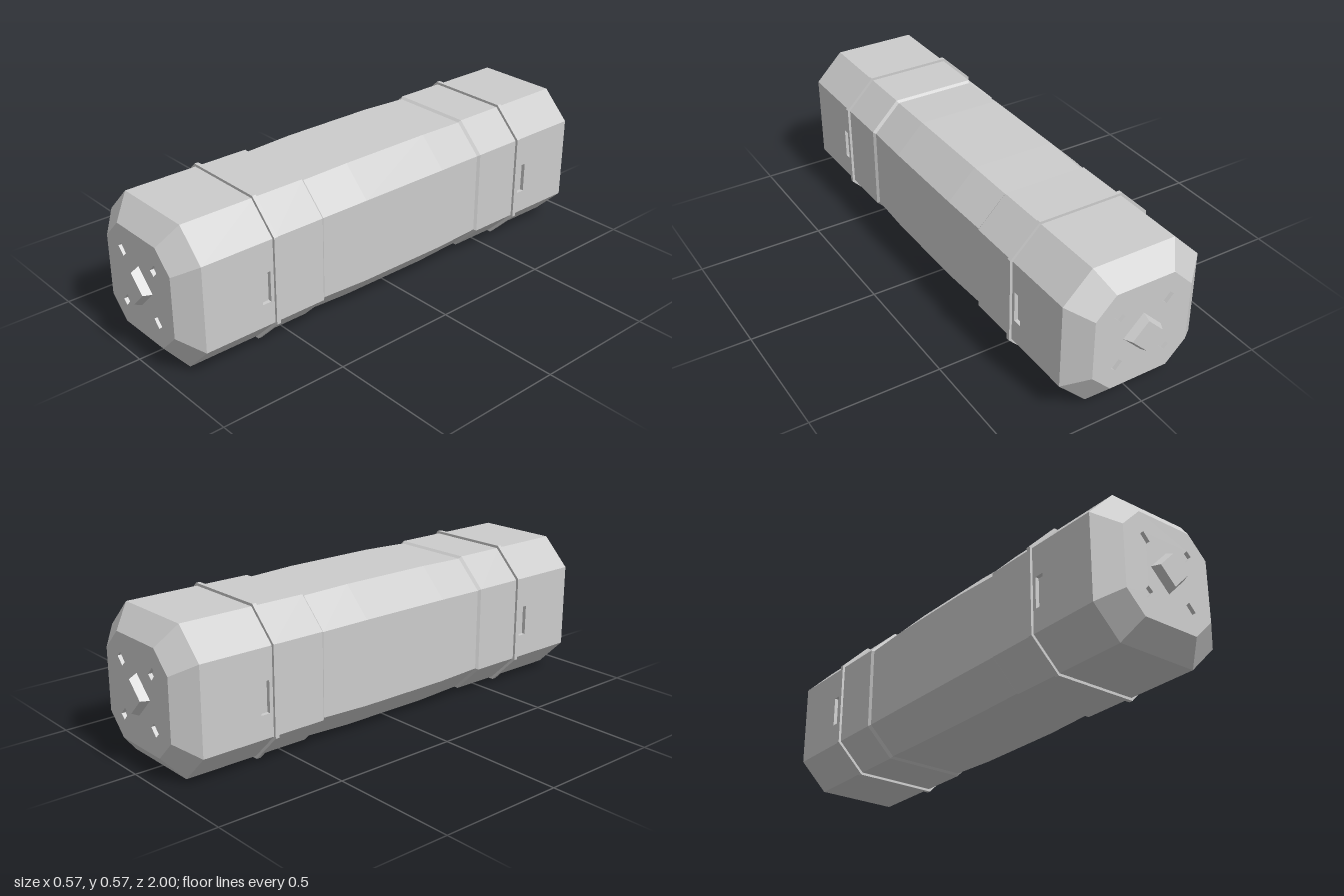
import * as THREE from 'three';

const grey = new THREE.MeshStandardMaterial({ color: 0xcccccc, flatShading: true });
const CY = 0.285; // height of the long axis

// Chamfered square with half size h and half flat edge f, anticlockwise from +z
const octagon = (h, f) => [[h, -f], [h, f], [f, h], [-f, h], [-h, f], [-h, -f], [-f, -h], [f, -h]];

function mesh(name, geometry) {
  const m = new THREE.Mesh(geometry, grey);
  m.name = name;
  return m;
}

// Skin between sections [z, points] listed from front to back; skip(section, edge) leaves gaps
function loft(sections, skip = () => false) {
  const pos = [];
  for (let s = 0; s < sections.length - 1; s++) {
    const [za, a] = sections[s], [zb, b] = sections[s + 1];
    for (let i = 0; i < a.length; i++) {
      if (skip(s, i)) continue;
      const j = (i + 1) % a.length;
      const p = [...a[i], za], q = [...b[i], zb], r = [...b[j], zb], t = [...a[j], za];
      pos.push(...p, ...q, ...r, ...p, ...r, ...t);
    }
  }
  const g = new THREE.BufferGeometry();
  g.setAttribute('position', new THREE.Float32BufferAttribute(pos, 3));
  g.computeVertexNormals();
  return g;
}

// Flat plate facing +z with sunken pockets { x, y, w, h, turn }
function pocketPlate(name, outline, pockets, depth) {
  const group = new THREE.Group();
  group.name = name;
  const shape = new THREE.Shape(outline.map(p => new THREE.Vector2(...p)));
  for (const { x, y, w, h, turn } of pockets) {
    const corners = [[-1, -1], [-1, 1], [1, 1], [1, -1]].map(([a, b]) =>
      new THREE.Vector2(a * w / 2, b * h / 2).rotateAround(new THREE.Vector2(), turn).add(new THREE.Vector2(x, y)));
    shape.holes.push(new THREE.Path(corners));

    // Open box seen from the inside
    const box = new THREE.BoxGeometry(w, h, depth);
    const index = Array.from(box.index.array);
    index.splice(24, 6);
    box.setIndex(index.reverse());
    const inside = box.toNonIndexed();
    inside.computeVertexNormals();
    const pocket = mesh('pocket', inside);
    pocket.position.set(x, y, -depth / 2);
    pocket.rotation.z = turn;
    group.add(pocket);
  }
  group.add(mesh('plate', new THREE.ShapeGeometry(shape)));
  return group;
}

function createEnd() {
  const end = new THREE.Group();
  end.name = 'endSection';

  // Cap face with four small radial slots
  const slots = [];
  for (const x of [-1, 1]) for (const y of [-1, 1]) {
    slots.push({ x: x * 0.098, y: y * 0.1, w: 0.04, h: 0.026, turn: x * y * 0.83 });
  }
  const cap = pocketPlate('capFace', octagon(0.195, 0.117), slots, 0.015);
  cap.position.z = 0.97;
  end.add(cap);

  // Diamond stud
  const diamond = r => [[r, 0], [0, r], [-r, 0], [0, -r]];
  const stud = mesh('diamondStud', loft([[1, diamond(0.0001)], [1, diamond(0.062)], [0.968, diamond(0.078)]]));
  end.add(stud);

  // Raised band
  end.add(mesh('band', loft([
    [0.613, octagon(0.27, 0.162)], [0.613, octagon(0.285, 0.17)],
    [0.597, octagon(0.285, 0.17)], [0.597, octagon(0.27, 0.162)],
  ])));

  // Side panels with an upright slot next to the band
  for (const side of [-1, 1]) {
    const outline = [[-0.9, -0.165], [-0.605, -0.165], [-0.605, 0.165], [-0.9, 0.165]].map(([x, y]) => [x * side, y]);
    if (side < 0) outline.reverse();
    const panel = pocketPlate('sidePanel', outline,
      [{ x: -0.645 * side, y: -0.015, w: 0.036, h: 0.12, turn: 0 }], 0.015);
    panel.rotation.y = side * Math.PI / 2;
    panel.position.x = side * 0.275;
    end.add(panel);
  }
  return end;
}

export function createModel() {
  const model = new THREE.Group();
  model.name = 'octagonalCapsule';
  const body = new THREE.Group();
  body.name = 'capsule';
  body.position.y = CY;
  model.add(body);

  // Hull with a stepped, slightly waisted middle
  const half = [
    [0.97, 0.195, 0.117], [0.9, 0.275, 0.165], [0.605, 0.275, 0.165],
    [0.395, 0.275, 0.165], [0.385, 0.267, 0.16], [0.19, 0.273, 0.164],
  ];
  const profile = [...half, ...half.map(([z, h, f]) => [-z, h, f]).reverse()];
  const sections = profile.map(([z, h, f]) => [z, octagon(h, f)]);
  const last = sections.length - 3;
  body.add(mesh('hull', loft(sections, (s, i) => (s === 1 || s === last) && i % 4 === 0)));

  // Matching ends
  const front = createEnd();
  const back = createEnd();
  back.rotation.y = Math.PI;
  body.add(front, back);
  return model;
}
